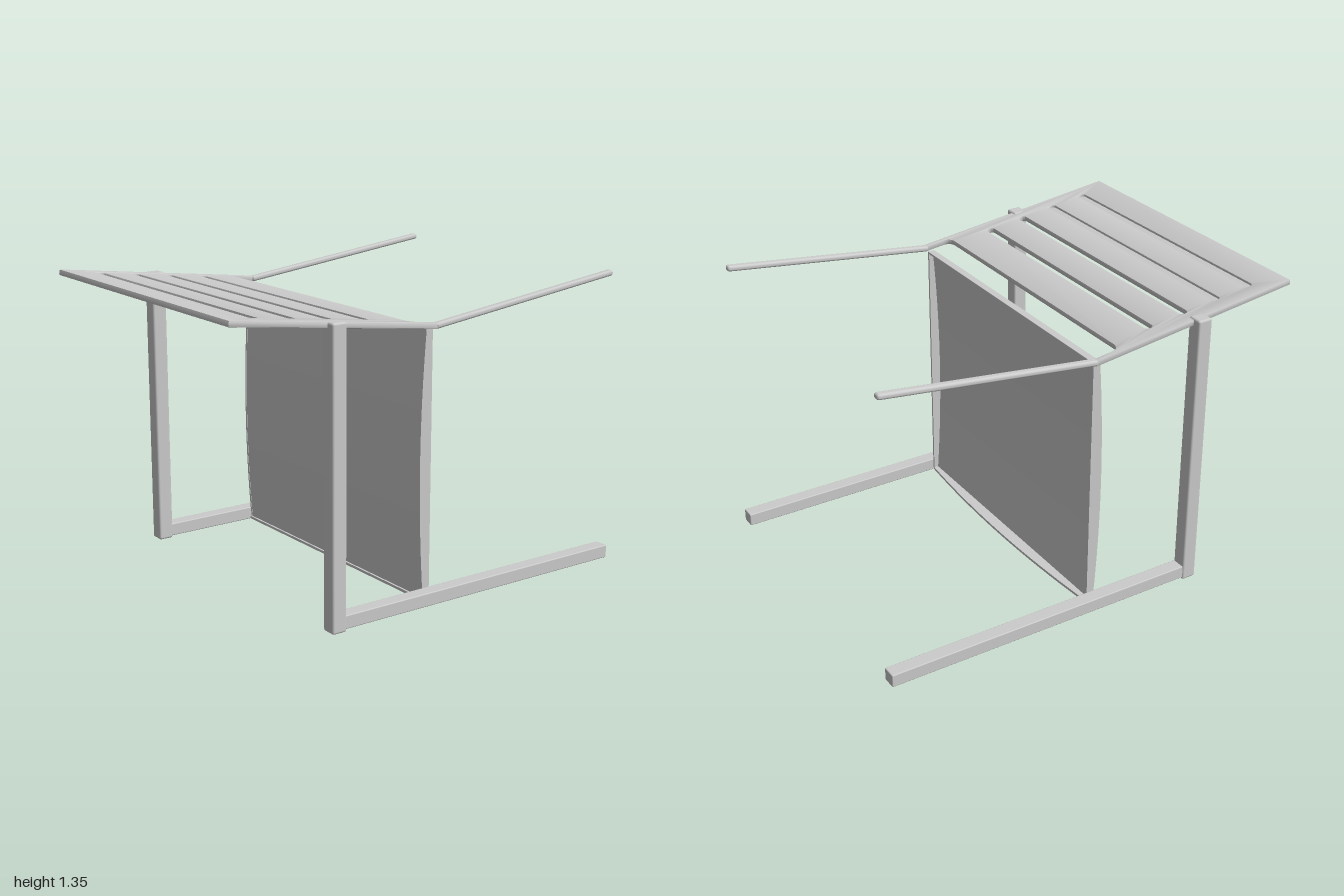
import * as THREE from 'three';
import { toCreasedNormals } from 'three/addons/utils/BufferGeometryUtils.js';
import { RoundedBoxGeometry } from 'three/addons/geometries/RoundedBoxGeometry.js';

const material = new THREE.MeshStandardMaterial({ color: 0xcccccc });
const SLOPE = Math.atan(0.125); // tilt of canopy and arms
const BEND_Y = 1.21; // height where canopy and arms meet
const THICK = 0.026;

export function createModel() {
  const model = new THREE.Group();

  const add = (name, geometry, x = 0, y = 0, z = 0) => {
    const mesh = new THREE.Mesh(geometry, material);
    mesh.name = name;
    mesh.position.set(x, y, z);
    model.add(mesh);
    return mesh;
  };
  const bar = (name, x0, x1, y0, y1, z0, z1, r = 0.005) =>
    add(name, new RoundedBoxGeometry(x1 - x0, y1 - y0, z1 - z0, 2, r),
      (x0 + x1) / 2, (y0 + y1) / 2, (z0 + z1) / 2);

  // Side frames: floor rail, upright post and sloping rear arm
  for (const s of [-1, 1]) {
    const side = s > 0 ? 'left' : 'right';
    const [a, b] = s > 0 ? [0.68, 0.745] : [-0.745, -0.68];
    bar(side + 'FloorRail', a, b, 0.01, 0.07, -1, 0.54);
    bar(side + 'Post', s > 0 ? 0.68 : -0.75, s > 0 ? 0.75 : -0.68, 0, 1.29, 0.48, 0.55, 0.01);

    const length = 1.008;
    const arm = new RoundedBoxGeometry(0.035, THICK, length, 3, 0.011);
    arm.translate(s * 0.698, 0, -length / 2 + 0.005);
    arm.rotateX(SLOPE);
    add(side + 'RearArm', arm, 0, BEND_Y, 0);
  }

  // Canopy: slab outline with a rounded notch at the rear
  const W = 0.713, N = 0.688, L = 1.004, D = 0.124, R = 0.045;
  const outline = new THREE.Shape();
  outline.moveTo(-W, -0.01);
  outline.lineTo(-N, -0.01);
  outline.lineTo(-N, D - R);
  outline.quadraticCurveTo(-N, D, -N + R, D);
  outline.lineTo(N - R, D);
  outline.quadraticCurveTo(N, D, N, D - R);
  outline.lineTo(N, -0.01);
  outline.lineTo(W, -0.01);
  outline.lineTo(W, L);
  outline.lineTo(-W, L);
  outline.closePath();

  // Two open slots and two closed grooves
  const slots = [0.315, 0.495, 0.667, 0.842];
  const half = 0.64, r = 0.018;
  for (const c of slots) {
    const hole = new THREE.Path();
    hole.moveTo(-half + r, c - r);
    hole.lineTo(half - r, c - r);
    hole.absarc(half - r, c, r, -Math.PI / 2, Math.PI / 2, false);
    hole.lineTo(-half + r, c + r);
    hole.absarc(-half + r, c, r, Math.PI / 2, Math.PI * 1.5, false);
    outline.holes.push(hole);
  }
  const bevel = 0.005;
  let slab = new THREE.ExtrudeGeometry(outline, {
    depth: THICK - 2 * bevel, curveSegments: 8,
    bevelEnabled: true, bevelThickness: bevel, bevelSize: bevel, bevelOffset: -bevel, bevelSegments: 2,
  });
  slab.rotateX(Math.PI / 2);
  slab.translate(0, THICK / 2 - bevel, 0);
  slab.rotateX(-SLOPE);
  add('canopy', toCreasedNormals(slab, 0.6), 0, BEND_Y, 0);

  for (const c of slots.slice(2)) {
    const groove = new THREE.BoxGeometry(2 * half + 0.02, 0.01, 2 * r + 0.015);
    groove.translate(0, -0.003, c);
    groove.rotateX(-SLOPE);
    add('canopyGroove', groove, 0, BEND_Y, 0);
  }

  // Upright panel: bowed front sheet inside shallow side walls, open at the rear
  const Y0 = 0.012, Y1 = 1.198, MID = (Y0 + Y1) / 2, EDGE = 0.032, BOW = 0.082;
  const extrudeX = (shape, width) => {
    const g = new THREE.ExtrudeGeometry(shape, { depth: width, curveSegments: 24, bevelEnabled: false });
    g.translate(0, 0, -width / 2);
    g.rotateY(-Math.PI / 2);
    return toCreasedNormals(g, 0.5);
  };
  const sheet = new THREE.Shape();
  sheet.moveTo(EDGE - 0.012, Y0);
  sheet.lineTo(EDGE - 0.002, Y0);
  sheet.quadraticCurveTo(BOW - 0.002, MID, EDGE - 0.002, Y1);
  sheet.lineTo(EDGE - 0.012, Y1);
  sheet.quadraticCurveTo(BOW - 0.012, MID, EDGE - 0.012, Y0);
  add('panelSheet', extrudeX(sheet, 1.35));

  const wall = new THREE.Shape();
  wall.moveTo(0, Y0);
  wall.lineTo(EDGE, Y0);
  wall.quadraticCurveTo(BOW, MID, EDGE, Y1);
  wall.lineTo(0, Y1);
  wall.closePath();
  const wallGeometry = extrudeX(wall, 0.01);
  for (const s of [-1, 1]) add('panelSideWall', wallGeometry, s * 0.677);
  bar('panelTopWall', -0.68, 0.68, Y1 - 0.01, Y1, 0, EDGE + 0.002, 0.001);

  // Bottom wall bowed towards the rear
  const base = new THREE.Shape();
  base.moveTo(-0.68, 0);
  base.quadraticCurveTo(0, -0.066, 0.68, 0);
  base.lineTo(0.68, 0.04);
  base.lineTo(-0.68, 0.04);
  base.closePath();
  const baseGeometry = new THREE.ExtrudeGeometry(base, { depth: 0.012, curveSegments: 24, bevelEnabled: false });
  baseGeometry.rotateX(Math.PI / 2);
  add('panelBottomWall', toCreasedNormals(baseGeometry, 0.5), 0, Y0 + 0.012, 0);

  return model;
}
